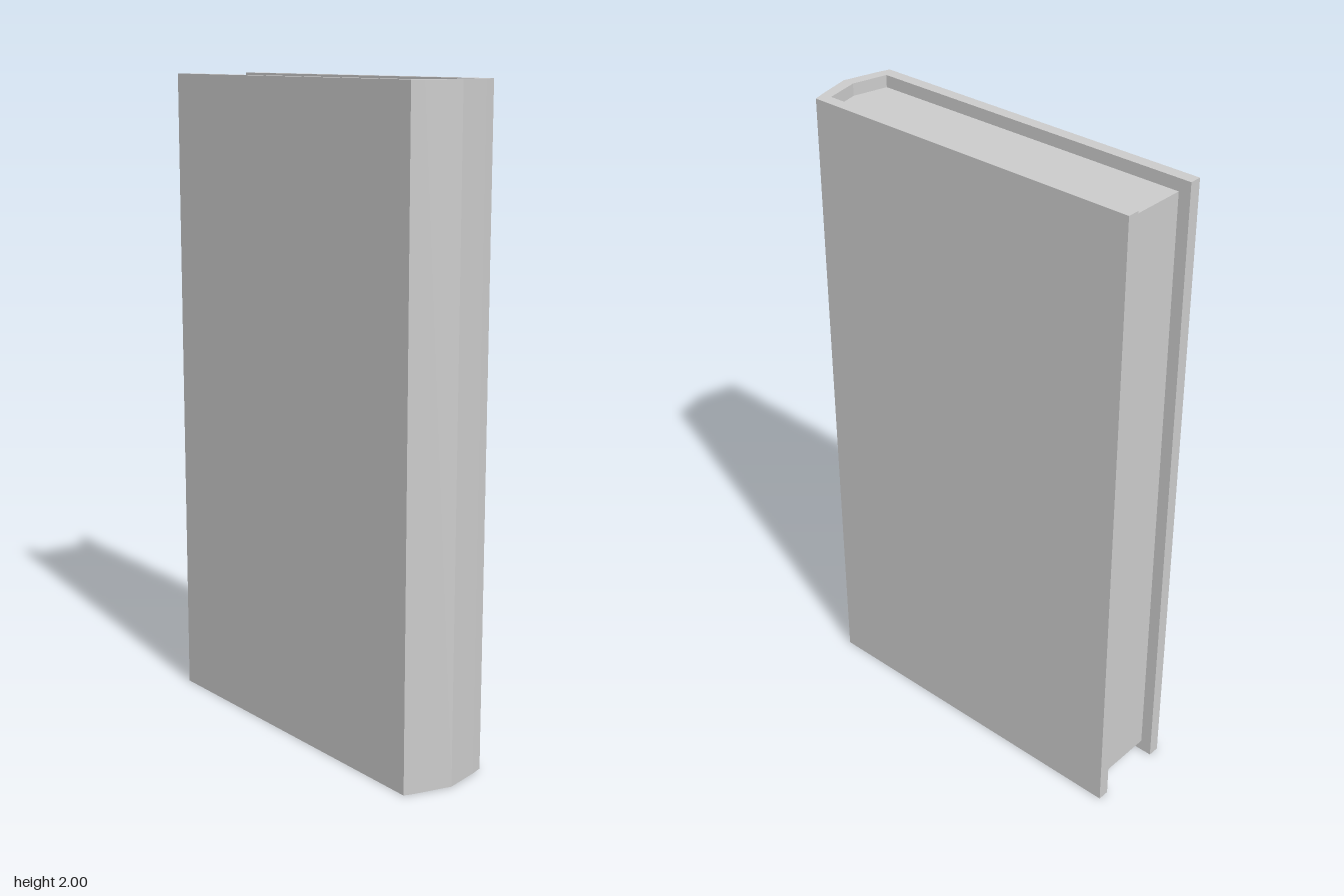
import * as THREE from 'three';

const material = new THREE.MeshStandardMaterial({ color: 0xcccccc, flatShading: true });

// Mirror a half outline [x, z] across z = 0
const mirrored = (half) => [
  ...half,
  ...half.filter(([, z]) => z !== 0).reverse().map(([x, z]) => [x, -z]),
];

// Upright prism from a plan outline
function prism(name, outline, bottom, top) {
  const shape = new THREE.Shape(outline.map(([x, z]) => new THREE.Vector2(x, z)));
  const geometry = new THREE.ExtrudeGeometry(shape, { depth: top - bottom, bevelEnabled: false });
  geometry.rotateX(-Math.PI / 2).translate(0, bottom, 0);
  const mesh = new THREE.Mesh(geometry, material);
  mesh.name = name;
  return mesh;
}

export function createModel() {
  const book = new THREE.Group();
  book.name = 'book';

  const height = 2, inset = 0.037;
  const frontEdge = -0.575, pageEdge = -0.538;
  const outerZ = 0.147, innerZ = 0.11;

  // Inside line of the spine, shared by the case and the pages
  const innerSpine = [[0.512, -innerZ], [0.537, 0]];

  // Case: two boards joined by a faceted, pointed spine
  const outer = mirrored([[frontEdge, -outerZ], [0.535, -outerZ], [0.547, -innerZ], [0.575, 0]]);
  const inner = mirrored([[frontEdge, -innerZ], ...innerSpine]).reverse();
  book.add(prism('cover', [...outer, ...inner], 0, height));

  // Page block, set back from the boards at top, bottom and fore edge
  const pages = mirrored([[pageEdge, -innerZ], ...innerSpine]);
  book.add(prism('pages', pages, inset, height - inset));

  return book;
}
